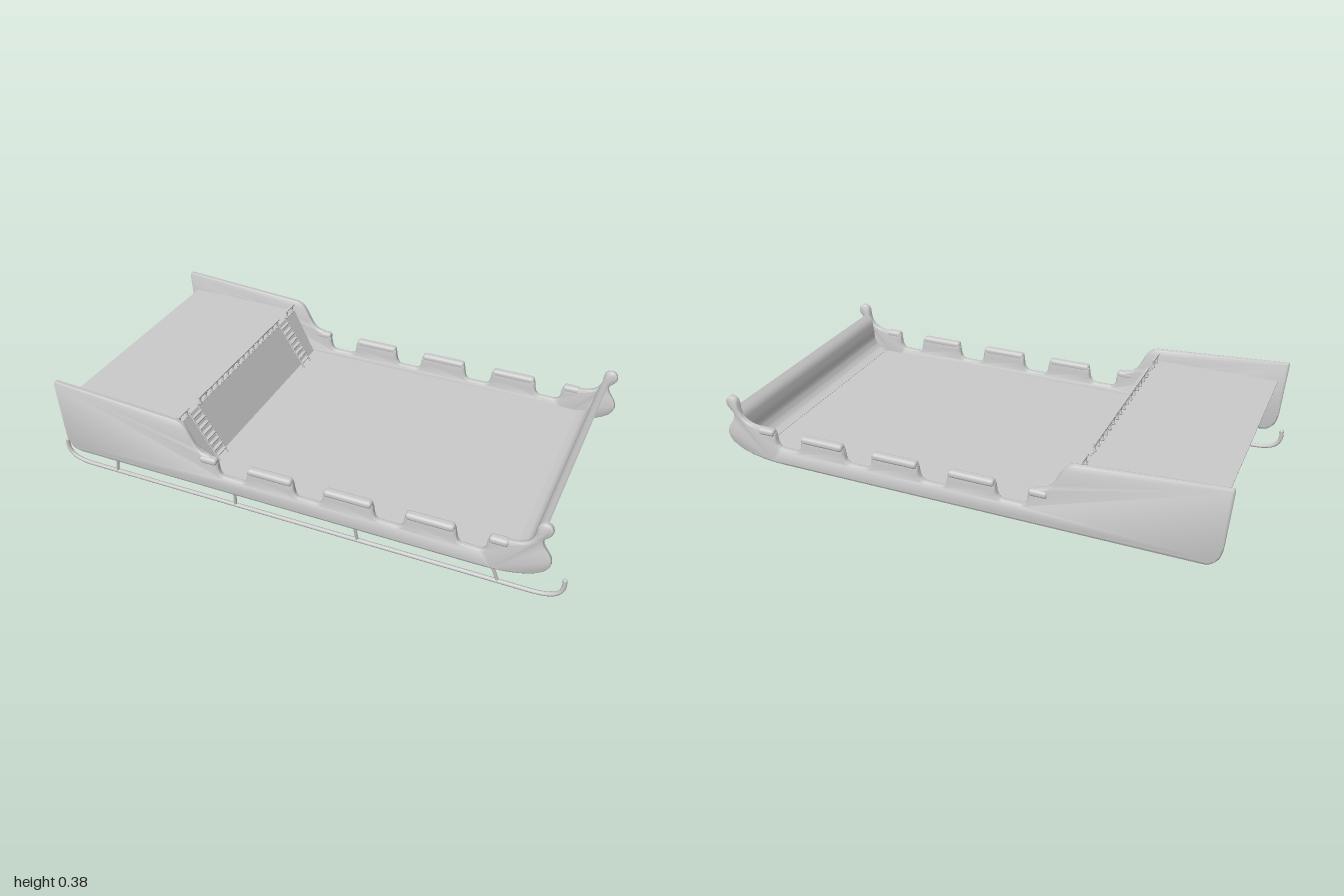
import * as THREE from 'three';
import { toCreasedNormals } from 'three/addons/utils/BufferGeometryUtils.js';
import { RoundedBoxGeometry } from 'three/addons/geometries/RoundedBoxGeometry.js';

const mat = new THREE.MeshStandardMaterial({ color: 0xcccccc });
const thin = new THREE.MeshStandardMaterial({ color: 0xcccccc, side: THREE.DoubleSide });

const FLOOR = 0.125, UPPER = 0.305, HALF = 0.49;
const GAPS = [[-0.295, -0.17], [0.01, 0.13], [0.315, 0.435], [0.615, 0.73]];

function add(parent, name, geometry, x = 0, y = 0, z = 0, material = mat) {
  const m = new THREE.Mesh(geometry, material);
  m.name = name;
  m.position.set(x, y, z);
  parent.add(m);
  return m;
}

// Round bar between two points
function bar(parent, name, a, b, r, sides = 8) {
  const d = b.clone().sub(a);
  const m = add(parent, name, new THREE.CylinderGeometry(r, r, d.length(), sides));
  m.position.copy(a).add(b).multiplyScalar(0.5);
  m.quaternion.setFromUnitVectors(new THREE.Vector3(0, 1, 0), d.normalize());
  return m;
}

const V = (x, y, z) => new THREE.Vector3(x, y, z);

// Side wall outline: tall stern, notched rail, curled bow
function sideShape() {
  const s = new THREE.Shape();
  s.moveTo(-0.90, 0.08);
  s.lineTo(0.70, 0.08);
  s.bezierCurveTo(0.84, 0.08, 0.94, 0.115, 0.945, 0.17);
  s.bezierCurveTo(0.945, 0.21, 0.905, 0.225, 0.91, 0.258);
  s.bezierCurveTo(0.915, 0.275, 0.94, 0.28, 0.938, 0.305);
  s.bezierCurveTo(0.935, 0.34, 0.885, 0.34, 0.884, 0.302);
  s.bezierCurveTo(0.884, 0.25, 0.86, 0.225, 0.80, 0.222);
  for (const [a, b] of [...GAPS].reverse()) {
    s.lineTo(b + 0.01, 0.216);
    s.quadraticCurveTo(b, 0.215, b - 0.002, 0.20);
    s.bezierCurveTo(b - 0.006, 0.16, b - 0.012, 0.15, b - 0.035, 0.15);
    s.lineTo(a + 0.035, 0.15);
    s.bezierCurveTo(a + 0.012, 0.15, a + 0.006, 0.16, a + 0.002, 0.20);
    s.quadraticCurveTo(a, 0.215, a - 0.01, 0.216);
  }
  s.lineTo(-0.335, 0.23);
  s.bezierCurveTo(-0.40, 0.23, -0.395, 0.345, -0.455, 0.349);
  s.lineTo(-0.975, 0.382);
  s.quadraticCurveTo(-0.985, 0.382, -0.985, 0.37);
  s.lineTo(-0.97, 0.16);
  s.quadraticCurveTo(-0.965, 0.08, -0.90, 0.08);
  return s;
}

function buildSide(sign) {
  const g = new THREE.Group();
  g.name = sign > 0 ? 'leftSide' : 'rightSide';
  const geo = new THREE.ExtrudeGeometry(sideShape(), {
    depth: 0.008, bevelEnabled: true, bevelThickness: 0.009, bevelSize: 0.009,
    bevelOffset: -0.009, bevelSegments: 3, curveSegments: 8,
  });
  add(g, 'sideWall', toCreasedNormals(geo, 0.8), 0, 0, sign * 0.497 - 0.004);
  // Padded caps on the raised parts of the rail
  const caps = [[-0.365, -0.295], [-0.168, 0.008], [0.132, 0.313], [0.437, 0.613], [0.732, 0.80]];
  for (const [a, b] of caps) {
    add(g, 'railCap', new RoundedBoxGeometry(b - a, 0.028, 0.034, 3, 0.012),
      (a + b) / 2, 0.21, sign * 0.5);
  }
  return g;
}

// Thin sheet running across the sleigh, swept from an x-y profile
function sheet(parent, name, pts, t) {
  const up = pts.map((p, i) => {
    const d = pts[Math.min(i + 1, pts.length - 1)].clone().sub(pts[Math.max(i - 1, 0)]).normalize();
    return new THREE.Vector2(p.x - d.y * t, p.y + d.x * t);
  });
  const geo = new THREE.ExtrudeGeometry(new THREE.Shape([...pts, ...up.reverse()]),
    { depth: HALF * 2, bevelEnabled: false });
  return add(parent, name, toCreasedNormals(geo, 0.6), 0, 0, -HALF, thin);
}

function buildLadder(z0) {
  const g = new THREE.Group();
  g.name = 'ladder';
  const foot = V(-0.35, FLOOR, 0), head = V(-0.468, 0.312, 0);
  for (const s of [-1, 1]) {
    const off = V(0, 0, z0 + s * 0.031);
    bar(g, 'ladderRail', foot.clone().add(off), head.clone().add(off), 0.0035, 6);
  }
  for (let i = 1; i <= 8; i++) {
    const p = foot.clone().lerp(head, i / 9);
    add(g, 'rung', new THREE.BoxGeometry(0.014, 0.004, 0.062), p.x, p.y, z0);
  }
  return g;
}

function buildRailing() {
  const g = new THREE.Group();
  g.name = 'railing';
  const post = new THREE.LatheGeometry([
    [0, 0], [0.007, 0], [0.007, 0.004], [0.0035, 0.009], [0.0045, 0.017],
    [0.0035, 0.024], [0.008, 0.029], [0.008, 0.033], [0, 0.033],
  ].map(([x, y]) => new THREE.Vector2(x, y)), 8);
  // Centre run plus a short run outside each ladder
  for (const [a, b, n] of [[-0.33, 0.33, 16], [0.4, 0.475, 2], [-0.475, -0.4, 2]]) {
    add(g, 'handrail', new THREE.BoxGeometry(0.012, 0.005, b - a), -0.465, 0.3385, (a + b) / 2);
    for (let i = 0; i < n; i++) {
      const z = a + 0.013 + (b - a - 0.026) * i / (n - 1);
      add(g, 'baluster', post, -0.465, UPPER, z);
    }
  }
  return g;
}

function buildRunner() {
  const g = new THREE.Group();
  g.name = 'runner';
  const z = 0.476, path = new THREE.CurvePath();
  const tip = s => [V(s * 0.993, 0.092, z), V(s * 0.997, 0.045, z), V(s * 0.985, 0.008, z), V(s * 0.88, 0.008, z)];
  path.add(new THREE.CubicBezierCurve3(...tip(-1)));
  path.add(new THREE.LineCurve3(V(-0.88, 0.008, z), V(0.88, 0.008, z)));
  path.add(new THREE.CubicBezierCurve3(...tip(1).reverse()));
  add(g, 'blade', new THREE.TubeGeometry(path, 200, 0.008, 8), 0, 0, 0);
  for (const s of [-1, 1]) {
    add(g, 'bladeTip', new THREE.SphereGeometry(0.008, 10, 8), s * 0.993, 0.092, z);
  }
  // Struts up to the side wall
  for (const [x0, x1] of [[-0.77, -0.75], [-0.247, -0.24], [0.247, 0.24], [0.768, 0.745]]) {
    bar(g, 'strut', V(x0, 0.01, z), V(x1, 0.09, 0.49), 0.006);
  }
  return g;
}

export function createModel() {
  const model = new THREE.Group();
  model.name = 'sleigh';
  model.add(buildSide(1), buildSide(-1), buildRunner(), buildRailing());
  model.add(buildLadder(0.365), buildLadder(-0.365));

  // Decks and sloped bulkhead
  add(model, 'lowerDeck', new THREE.BoxGeometry(1.185, 0.006, HALF * 2), 0.2175, FLOOR - 0.003, 0);
  add(model, 'upperDeck', new THREE.BoxGeometry(0.485, 0.004, HALF * 2), -0.7075, UPPER - 0.002, 0);
  sheet(model, 'bulkhead', [new THREE.Vector2(-0.375, FLOOR - 0.004), new THREE.Vector2(-0.465, UPPER)], 0.004);

  // Curved dashboard at the bow
  const bow = new THREE.SplineCurve([
    [0.808, 0.12], [0.845, 0.135], [0.868, 0.17], [0.873, 0.215], [0.882, 0.255], [0.908, 0.28],
  ].map(([x, y]) => new THREE.Vector2(x, y)));
  sheet(model, 'dashboard', bow.getPoints(24), 0.007);
  return model;
}
